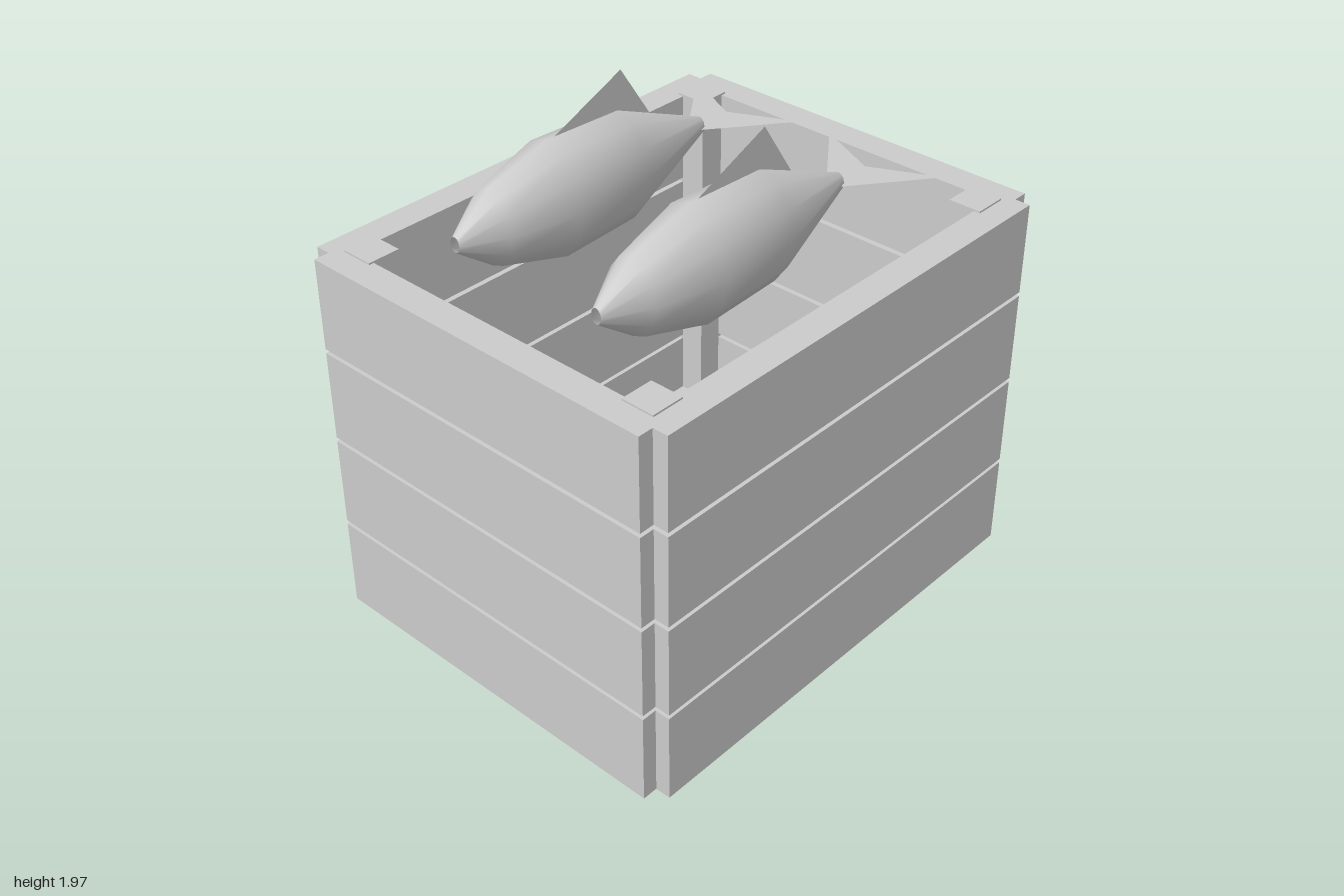
import * as THREE from 'three';

const grey = new THREE.MeshStandardMaterial({ color: 0xcccccc });
grey.name = 'grey';
const greyThin = grey; // one colour for wood and fish
greyThin.side = THREE.DoubleSide;

function add(parent, name, geometry, x = 0, y = 0, z = 0) {
  const mesh = new THREE.Mesh(geometry, grey);
  mesh.name = name;
  mesh.position.set(x, y, z);
  parent.add(mesh);
  return mesh;
}

function polygon(points) {
  return new THREE.ShapeGeometry(new THREE.Shape(points.map(([x, y]) => new THREE.Vector2(x, y))));
}

function createCrate() {
  const crate = new THREE.Group();
  crate.name = 'crate';

  // Four courses of wall planks, notched at the corners
  const plankHeight = 0.36, thickness = 0.12;
  for (let i = 0; i < 4; i++) {
    const y = 0.01 + plankHeight / 2 + i * 0.3767;
    for (const s of [1, -1]) {
      add(crate, s > 0 ? 'frontPlank' : 'backPlank',
        new THREE.BoxGeometry(1.88, plankHeight, thickness), 0, y, s * 0.75);
      add(crate, s > 0 ? 'leftPlank' : 'rightPlank',
        new THREE.BoxGeometry(thickness, plankHeight, 1.5), s * 0.94, y, 0);
    }
  }

  // Corner posts
  for (const sx of [1, -1]) for (const sz of [1, -1]) {
    add(crate, 'cornerPost', new THREE.BoxGeometry(0.13, 1.5, 0.13), sx * 0.835, 0.757, sz * 0.65);
  }

  // Floor boards
  for (let i = 0; i < 4; i++) {
    add(crate, 'floorBoard', new THREE.BoxGeometry(0.459, 0.12, 1.5), (i - 1.5) * 0.4705, 0.06, 0);
  }
  return crate;
}

function createFish() {
  const fish = new THREE.Group();
  fish.name = 'fish';

  // Twelve-sided oval body, open at the nose and tail; [radius, x]
  const profile = [[0.03, -0.74], [0.147, -0.58], [0.225, -0.31], [0.212, 0.03], [0.034, 0.46]];
  const body = new THREE.LatheGeometry(profile.map(([r, x]) => new THREE.Vector2(r, x)), 12);
  body.rotateZ(-Math.PI / 2);
  body.scale(1, 1, 0.72);
  add(fish, 'body', body);

  // Flat horizontal tail and upright back fin
  const tail = polygon([[0.39, 0], [0.73, -0.255], [0.61, 0], [0.73, 0.255]]);
  tail.rotateX(-Math.PI / 2);
  add(fish, 'tailFin', tail);
  add(fish, 'backFin', polygon([[-0.33, 0.2], [0.23, 0.09], [0.05, 0.36]]));
  return fish;
}

export function createModel() {
  const model = new THREE.Group();
  model.name = 'crateOfFish';
  model.add(createCrate());
  for (const z of [-0.325, 0.325]) {
    const fish = createFish();
    fish.position.set(0, 1.61, z);
    model.add(fish);
  }
  return model;
}
